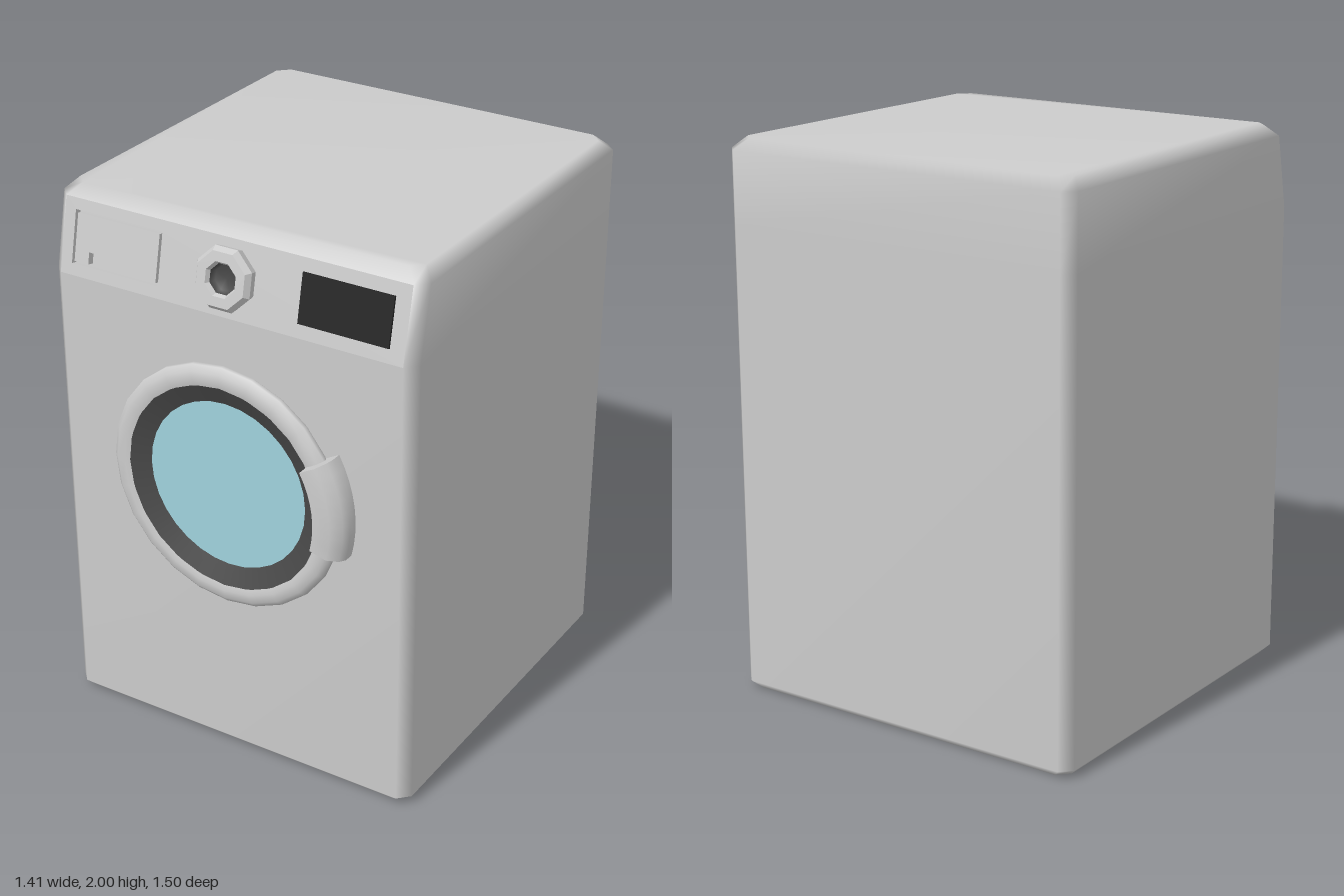
import * as THREE from 'three';
import { toCreasedNormals } from 'three/addons/utils/BufferGeometryUtils.js';

const material = (name, color) => new THREE.MeshStandardMaterial({ name, color });

// Loop of a cabinet cross-section: a rectangle with cut corners
function section(y, front, inset) {
  const c = 0.04, w = 0.705 - inset, f = front - inset, b = -0.75 + inset;
  return [[c - w, f], [w - c, f], [w, f - c], [w, b + c], [w - c, b], [c - w, b], [-w, b + c], [-w, f - c]]
    .map(([x, z]) => [x, y, z]);
}

function cabinetGeometry() {
  const loops = [
    section(0, 0.66, 0.03), section(0.03, 0.66, 0), section(1.7, 0.66, 0),
    section(1.96, 0.605, 0), section(2, 0.605, 0.04),
  ];
  const index = [];
  for (let l = 0; l < 4; l++) {
    for (let i = 0; i < 8; i++) {
      if (l === 2 && i === 0) continue; // the control panel fills this opening
      const a = l * 8 + i, b = l * 8 + (i + 1) % 8;
      index.push(a, b, b + 8, a, b + 8, a + 8);
    }
  }
  for (let i = 1; i < 7; i++) index.push(0, i + 1, i, 32, 32 + i, 33 + i);
  const g = new THREE.BufferGeometry();
  g.setAttribute('position', new THREE.Float32BufferAttribute(loops.flat(2), 3));
  g.setIndex(index);
  g.computeVertexNormals();
  return g;
}

const points = (list) => list.map(([x, y]) => new THREE.Vector2(x, y));

// Turned part whose axis points forward
function turned(profile, sides, start = 0) {
  return new THREE.LatheGeometry(points(profile), sides, start).rotateX(Math.PI / 2);
}

// Sheet with its front on z = 0
function sheet(outline, depth, hole) {
  const shape = new THREE.Shape(points(outline));
  if (hole) shape.holes.push(new THREE.Path(points(hole)));
  return new THREE.ExtrudeGeometry(shape, { depth, bevelEnabled: false }).translate(0, 0, -depth);
}

const rect = (x0, y0, x1, y1) => [[x0, y0], [x1, y0], [x1, y1], [x0, y1]];

// Grip profile (radius, height) swept along an arc around the door centre
function handleGeometry() {
  const profile = new THREE.Shape(points([
    [0.43, 0], [0.497, 0], [0.497, 0.035], [0.485, 0.06], [0.45, 0.087],
    [0.385, 0.087], [0.385, 0.045], [0.41, 0.04],
  ]));
  const g = new THREE.ExtrudeGeometry(profile, { depth: 1, steps: 8, bevelEnabled: false });
  const p = g.attributes.position;
  for (let i = 0; i < p.count; i++) {
    const r = p.getX(i), h = p.getY(i), angle = 0.51 - 0.76 * p.getZ(i);
    p.setXYZ(i, r * Math.cos(angle), r * Math.sin(angle), h);
  }
  return toCreasedNormals(g, 0.8);
}

export function createModel() {
  const model = new THREE.Group();
  model.name = 'washingMachine';
  const casing = material('casing', 0xcccccc);
  const rubber = material('darkSeal', 0x484848);
  const glass = material('glass', 0x9fd2dc);
  const black = material('displayBlack', 0x242424);

  const add = (parent, name, geometry, mat) => {
    const mesh = new THREE.Mesh(geometry, mat);
    mesh.name = name;
    parent.add(mesh);
    return mesh;
  };

  add(model, 'cabinet', cabinetGeometry(), casing);

  // Sloping control panel
  const panel = new THREE.Group();
  panel.name = 'controlPanel';
  panel.position.set(0, 1.7, 0.66);
  panel.rotation.x = -Math.atan2(0.055, 0.26);
  model.add(panel);
  const top = Math.hypot(0.055, 0.26);
  add(panel, 'panelFace', sheet(rect(-0.665, 0, 0.665, top), 0.03, rect(-0.622, 0.04, -0.27, 0.226)), casing);

  // Detergent drawer with a finger notch, set in a narrow gap
  add(panel, 'drawerFront', sheet([
    [-0.612, 0.05], [-0.555, 0.05], [-0.555, 0.092], [-0.337, 0.092],
    [-0.337, 0.05], [-0.28, 0.05], [-0.28, 0.216], [-0.612, 0.216],
  ], 0.03), casing);
  add(panel, 'drawerRecess', sheet(rect(-0.63, 0.03, -0.26, 0.235), 0.005).translate(0, 0, -0.025), casing);

  // Eight-sided program knob with a dark hollow
  const knob = new THREE.Group();
  knob.name = 'programKnob';
  knob.position.set(0, 0.135, 0);
  panel.add(knob);
  const turn = Math.PI / 8;
  add(knob, 'knobRim', toCreasedNormals(turned(
    [[0.107, 0], [0.113, 0.03], [0.098, 0.05], [0.062, 0.05], [0.053, 0.035]], 8, turn), 0.6), casing);
  add(knob, 'knobHollow', turned([[0.053, 0.035], [0.045, 0.012], [0, 0.012]], 8, turn), rubber);

  const display = add(panel, 'display', new THREE.BoxGeometry(0.335, 0.17, 0.009), black);
  display.position.set(0.443, 0.134, 0.003);

  // Round door
  const door = new THREE.Group();
  door.name = 'door';
  door.position.set(0, 1.08, 0.66);
  model.add(door);
  add(door, 'doorRing', turned(
    [[0.44, 0], [0.452, 0.015], [0.45, 0.028], [0.43, 0.045], [0.4, 0.047], [0.38, 0.042]], 24), casing);
  add(door, 'doorSeal', turned([[0.38, 0.042], [0.31, 0.012]], 32), rubber);
  add(door, 'doorGlass', turned([[0.31, 0.012], [0, 0.012]], 32), glass);
  add(door, 'doorHandle', handleGeometry(), casing);

  return model;
}
